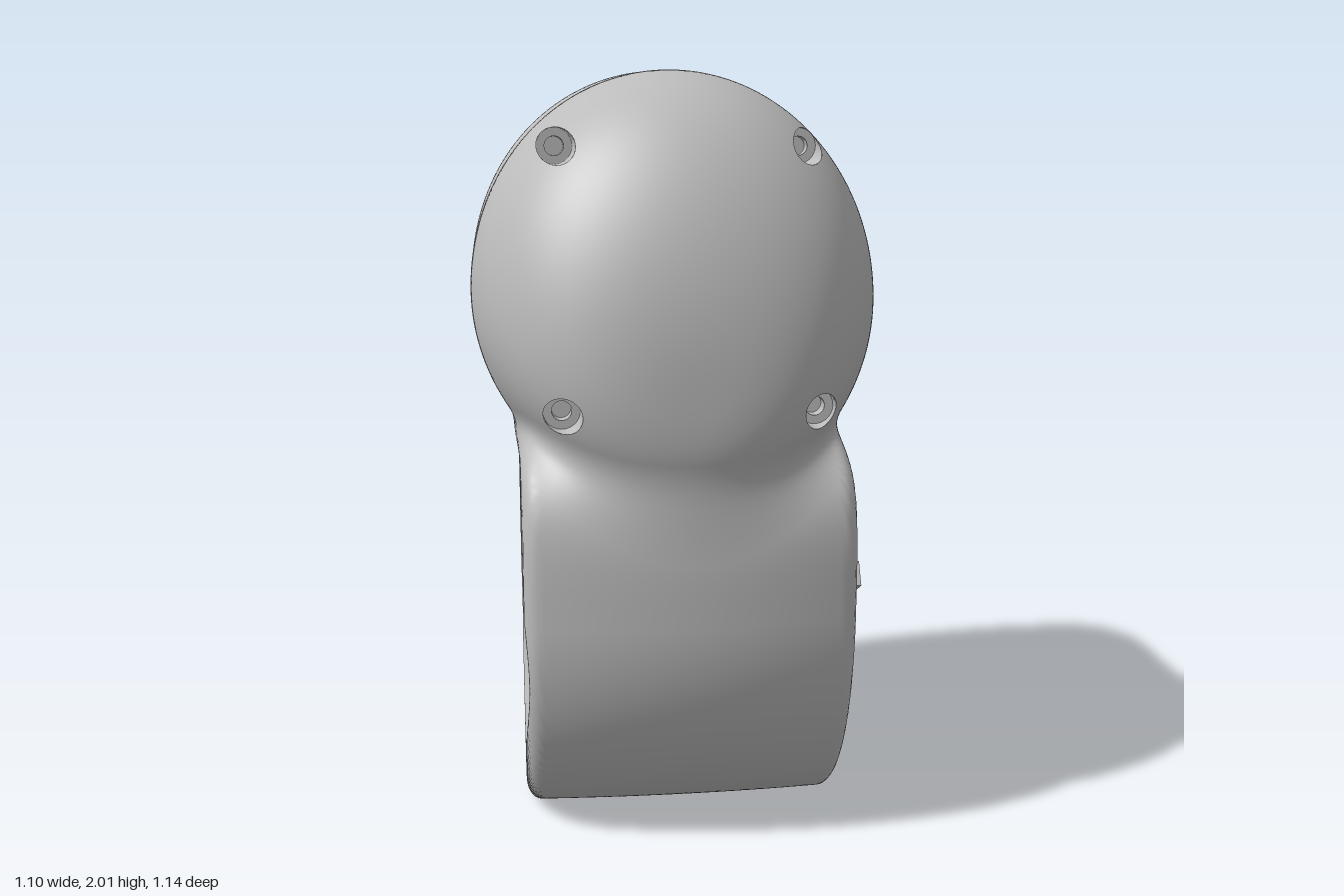
import * as THREE from 'three';
import { toCreasedNormals } from 'three/addons/utils/BufferGeometryUtils.js';

const BARREL = { y: 0.53, z: 0.077 }; // centre of the cross bore
const DOME_Y = 1.48;                  // centre of the rear bore

// Intersection of two solids with a rounded edge
const roundAnd = (a, b, r) =>
  Math.min(Math.max(a + r, b + r), 0) + Math.hypot(Math.max(a + r, 0), Math.max(b + r, 0)) - r;

// Lower barrel: an egg-shaped outline across x, bulging at the front
function barrel(x, y, z) {
  const dy = y - 0.62, n = dy > 0 ? 4 : 2, h = dy > 0 ? 0.43 : 0.62;
  const a = z > 0.095 ? 0.46 - 0.3 * x * x : 0.465;
  const q = (Math.abs((z - 0.095) / a) ** n + Math.abs(dy / h) ** n) ** (1 / n);
  return roundAnd((q - 1) * a, Math.abs(x) - 0.425, 0.04);
}

// Upper dome: round sections along z, drooping to the front, flat at the back
function dome(x, y, z) {
  const t = Math.max(0, (z + 0.2) / 0.77), u = Math.min(1, Math.max(0, (-0.2 - z) / 0.37));
  const R = 0.55 - 0.1 * u ** 3.5, dy = y - (1.4 - 0.2 * t ** 4.5 + 0.08 * u);
  const stretch = dy < 0 ? 1 - 0.1 * Math.min(1, 2 * u) : 1.09 - 0.09 * u;
  const rho = Math.hypot(x, dy / stretch);
  const d = (((rho / R) ** 2.8 + t ** 2.8) ** (1 / 2.8) - 1) * R;
  return roundAnd(d, -0.57 - z, 0.03);
}

// Soft blend of the two bodies
function body(x, y, z) {
  const a = barrel(x, y, z), b = dome(x, y, z), k = 0.08;
  const h = Math.max(k - Math.abs(a - b), 0) / k;
  return Math.min(a, b) - h * h * k * 0.25;
}

// Keep only the part of a geometry where f > 0
function clip(geometry, f) {
  const src = geometry.index ? geometry.toNonIndexed() : geometry;
  const p = src.attributes.position, out = [];
  const val = (v) => f(v.x, v.y, v.z);
  const cross = (a, b) => {
    let lo = a.clone(), hi = b.clone();
    for (let i = 0; i < 14; i++) {
      const m = lo.clone().add(hi).multiplyScalar(0.5);
      if (val(m) > 0) lo = m; else hi = m;
    }
    return lo;
  };
  for (let i = 0; i < p.count; i += 3) {
    const tri = [0, 1, 2].map((j) => new THREE.Vector3().fromBufferAttribute(p, i + j));
    const keep = tri.map((v) => val(v) > 0);
    const poly = [];
    for (let j = 0; j < 3; j++) {
      const n = (j + 1) % 3;
      if (keep[j]) poly.push(tri[j]);
      if (keep[j] && !keep[n]) poly.push(cross(tri[j], tri[n]));
      if (!keep[j] && keep[n]) poly.push(cross(tri[n], tri[j]));
    }
    for (let j = 1; j + 1 < poly.length; j++)
      for (const v of [poly[0], poly[j], poly[j + 1]]) out.push(v.x, v.y, v.z);
  }
  return new THREE.BufferGeometry().setAttribute('position', new THREE.Float32BufferAttribute(out, 3));
}

// Outer skin: a sphere pushed out to the blended body, then cut open
function shellGeometry(cutters) {
  let g = new THREE.SphereGeometry(1, 240, 180);
  const p = g.attributes.position;
  for (let i = 0; i < p.count; i++) {
    const x = p.getX(i), y = p.getY(i), z = p.getZ(i);
    let lo = 0.05, hi = 1.7;
    for (let k = 0; k < 24; k++) {
      const m = (lo + hi) / 2;
      if (body(x * m, 1.12 + y * m, z * m) < 0) lo = m; else hi = m;
    }
    p.setXYZ(i, x * lo, 1.12 + y * lo, z * lo);
  }
  for (const c of cutters) g = clip(g, c);
  const q = g.attributes.position, normals = [], e = 0.003, n = new THREE.Vector3();
  for (let i = 0; i < q.count; i++) {
    const x = q.getX(i), y = q.getY(i), z = q.getZ(i);
    n.set(body(x + e, y, z) - body(x - e, y, z), body(x, y + e, z) - body(x, y - e, z),
      body(x, y, z + e) - body(x, y, z - e)).normalize();
    normals.push(n.x, n.y, n.z);
  }
  return g.setAttribute('normal', new THREE.Float32BufferAttribute(normals, 3));
}

const polar = (r, deg) => [r * Math.cos(deg * Math.PI / 180), r * Math.sin(deg * Math.PI / 180)];

export function createModel() {
  const model = new THREE.Group();
  model.name = 'elbowJointHousing';
  const grey = new THREE.MeshStandardMaterial({ color: 0xbcbcbc, side: THREE.DoubleSide });
  grey.name = 'grey';
  const add = (name, geometry, parent = model) => {
    const mesh = new THREE.Mesh(geometry, grey);
    mesh.name = name;
    parent.add(mesh);
    return mesh;
  };
  const inside = (g) => toCreasedNormals(clip(g, (x, y, z) => -body(x, y, z)), 0.6);

  // Stepped hole, opening along +z
  const pocket = (r, r2, top, step, depth) => new THREE.LatheGeometry(
    [[r, top], [r, step], [r2, step], [r2, depth]].map((a) => new THREE.Vector2(...a)), 28)
    .rotateX(Math.PI / 2);

  // Bolt flange facing +z, with a centre hole, optional slots and bolt holes
  function flange(name, radius, bolts, smallBolt, slots) {
    const group = new THREE.Group();
    group.name = name;
    model.add(group);
    const shape = new THREE.Shape().absarc(0, 0, radius, 0, Math.PI * 2);
    const rim = [];
    for (let a = 0; a < 360; a += 3) {
      const near = (d) => slots.some((s) => Math.abs(s - a - d) <= 9);
      const slot = near(0);
      if (slot && !near(-3)) rim.push(new THREE.Vector2(...polar(0.26, a)));
      rim.push(new THREE.Vector2(...polar(slot ? 0.345 : 0.26, a)));
      if (slot && !near(3)) rim.push(new THREE.Vector2(...polar(0.26, a)));
    }
    shape.holes.push(new THREE.Path(rim));
    for (const a of bolts) {
      const [x, y] = polar(0.325, a), r = a === smallBolt ? 0.036 : 0.048;
      shape.holes.push(new THREE.Path().absarc(x, y, r, 0, Math.PI * 2));
      add('boltHole', toCreasedNormals(pocket(r, 0.026, 0, -0.035, -0.08), 0.6), group).position.set(x, y, 0);
    }
    const g = new THREE.ExtrudeGeometry(shape, { depth: 0.08, bevelEnabled: false, curveSegments: 40 });
    add('flangePlate', toCreasedNormals(g.translate(0, 0, -0.08), 0.6), group);
    return group;
  }

  // Skin with openings for both bores, the side flange and the front screws
  const screws = [];
  for (const x of [-0.32, 0.32]) screws.push([x, 1.795, 0.13], [x, 1.15, 0.4]);
  const across = (y, z) => Math.hypot(y - BARREL.y, z - BARREL.z);
  add('outerShell', shellGeometry([
    (x, y, z) => Math.max(across(y, z) - 0.378, 0.2 - x),
    (x, y, z) => Math.max(across(y, z) - 0.405, x + 0.2),
    (x, y, z) => Math.max(Math.hypot(x, y - DOME_Y) - 0.4, z + 0.4),
    ...screws.map(([sx, sy]) => (x, y, z) => Math.max(Math.hypot(x - sx, y - sy) - 0.047, -z)),
  ]));

  // Counterbored screw holes on the front of the dome
  for (const [x, y, z] of screws) {
    add('frontScrewHole', inside(pocket(0.047, 0.025, 0.5, 0, -0.06).translate(x, y, z)));
    add('frontScrewHoleFloor', new THREE.CircleGeometry(0.025, 20).translate(x, y, z - 0.04));
  }

  // Side flange with two locating tabs and a pin hole
  const side = flange('sideFlange', 0.38, [0, 45, 90, 135, 180, 225, 270, 315], 225, []);
  side.rotation.y = Math.PI / 2;
  side.position.set(0.425, BARREL.y, BARREL.z);
  for (const a of [151, -17]) {
    const tab = add('locatingTab', new THREE.BoxGeometry(0.07, 0.065, 0.06), side);
    tab.position.set(...polar(0.303, a), 0.002);
    tab.rotation.z = a * Math.PI / 180;
  }
  add('pinHole', new THREE.TorusGeometry(0.014, 0.003, 6, 20), side).position.set(0, 0.44, 0);

  // Wide cross bore, open on the other side
  const bore = new THREE.CylinderGeometry(0.405, 0.405, 0.79, 72, 1, true).rotateZ(Math.PI / 2);
  add('crossBore', inside(bore.translate(-0.05, BARREL.y, BARREL.z)));
  add('crossBoreShoulder', new THREE.RingGeometry(0.375, 0.405, 72).rotateY(-Math.PI / 2)
    .translate(0.345, BARREL.y, BARREL.z));

  // Raised lands inside the cross bore: inner radius, start and end angle, length
  const lands = [[0.36, 228, 256, 0.62], [0.36, 274, 302, 0.62], [0.378, 250, 280, 0.5], [0.38, 110, 142, 0.55]];
  for (const [r, from, to, length] of lands) {
    const a = from * Math.PI / 180, b = to * Math.PI / 180;
    const s = new THREE.Shape().absarc(0, 0, 0.41, a, b).absarc(0, 0, r, b, a, true);
    const g = new THREE.ExtrudeGeometry(s, { depth: length, bevelEnabled: false, curveSegments: 10 });
    g.rotateY(Math.PI / 2).translate(0.345 - length, BARREL.y, BARREL.z);
    add('boreLand', toCreasedNormals(g, 0.6));
  }

  // Rear flange, recessed into the dome, with slots that match the tabs
  const rear = flange('rearFlange', 0.402, [-135, -90, -45, 0, 45, 90, 135], -45, [168, 108]);
  rear.rotation.y = Math.PI;
  rear.position.set(0, DOME_Y, -0.52);
  const recess = new THREE.CylinderGeometry(0.4, 0.4, 0.1, 72, 1, true).rotateX(Math.PI / 2);
  add('rearRecess', inside(recess.translate(0, DOME_Y, -0.53)));
  const inner = new THREE.CylinderGeometry(0.37, 0.37, 0.12, 64, 1, true).rotateX(Math.PI / 2);
  add('rearBoreWide', inner.translate(0, DOME_Y, -0.39));
  add('rearBoreStep', new THREE.RingGeometry(0.26, 0.37, 64).rotateY(Math.PI).translate(0, DOME_Y, -0.33));
  const liner = new THREE.CylinderGeometry(0.26, 0.26, 0.43, 64, 1, true).rotateX(Math.PI / 2);
  add('rearBore', liner.translate(0, DOME_Y, -0.115));
  add('rearBoreEnd', new THREE.CircleGeometry(0.26, 64).rotateY(Math.PI).translate(0, DOME_Y, 0.1));
  return model;
}
